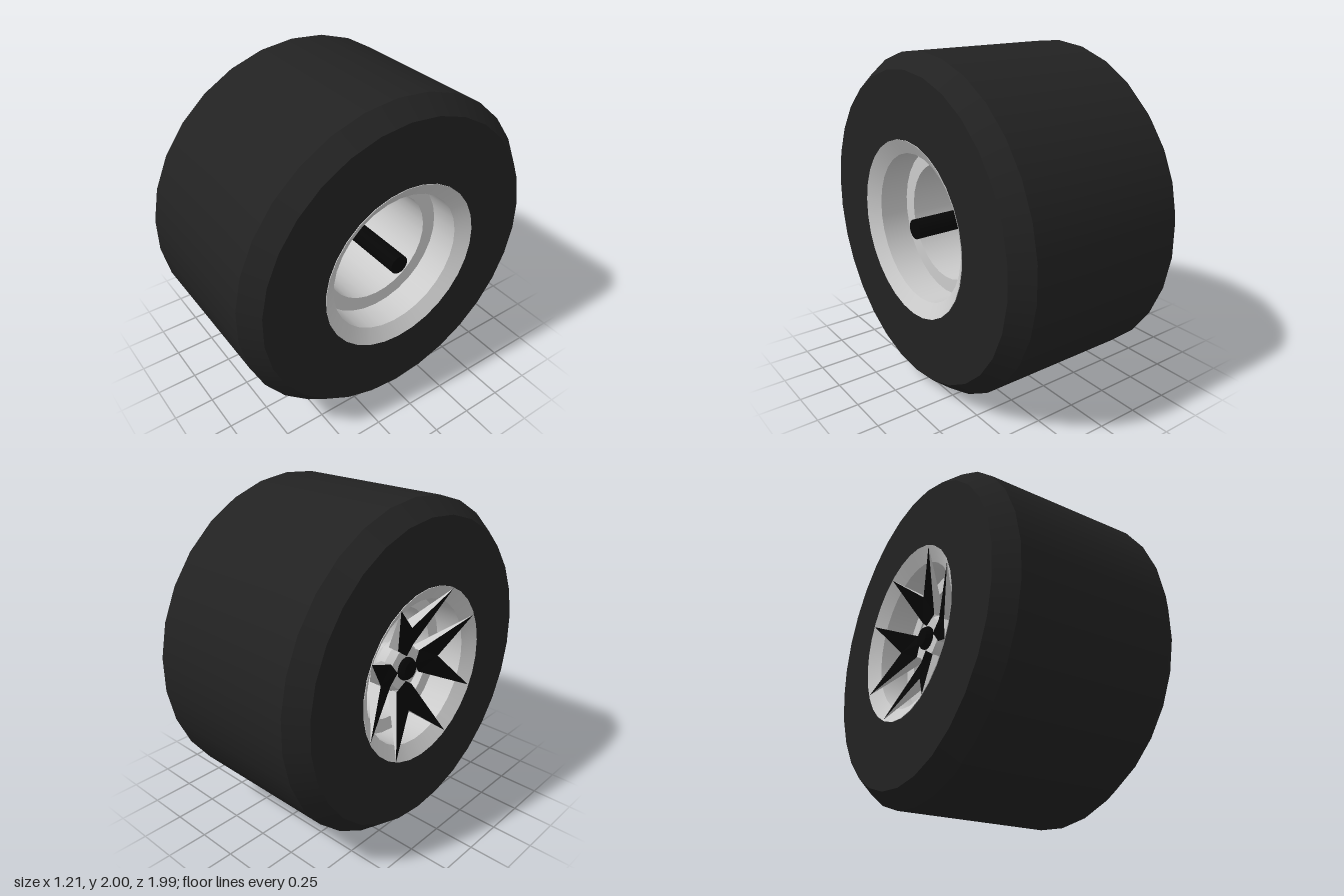
import * as THREE from 'three';
import { mergeGeometries } from 'three/addons/utils/BufferGeometryUtils.js';

const material = (color) => new THREE.MeshStandardMaterial({ color, side: THREE.DoubleSide });

// Turns [radius, x] points around the x axis; each band is separate so its edges stay sharp.
function turned(name, profile, segments, mat) {
  const bands = [];
  for (let i = 0; i < profile.length - 1; i++) {
    const pair = [profile[i], profile[i + 1]].map(([r, x]) => new THREE.Vector2(r, x));
    bands.push(new THREE.LatheGeometry(pair, segments, Math.PI / 2));
  }
  const mesh = new THREE.Mesh(mergeGeometries(bands).rotateZ(-Math.PI / 2), mat);
  mesh.name = name;
  return mesh;
}

// Flat-shaded mesh from triangles, mirrored across the z = 0 plane.
function mirroredFacets(name, triangles, mat) {
  const positions = [];
  for (const side of [1, -1]) {
    for (const [a, b, c] of triangles) {
      const corners = side > 0 ? [a, b, c] : [a, c, b];
      for (const [x, y, z] of corners) positions.push(x, y, z * side);
    }
  }
  const geometry = new THREE.BufferGeometry();
  geometry.setAttribute('position', new THREE.Float32BufferAttribute(positions, 3));
  geometry.computeVertexNormals();
  const mesh = new THREE.Mesh(geometry, mat);
  mesh.name = name;
  return mesh;
}

// Forked spoke: two prongs that taper from the hub to points on the rim lip.
function createSpoke(grey, black) {
  const hubFront = [-0.47, 0.08, 0], hubBack = [-0.35, 0.08, 0];
  const sideFront = [-0.46, 0.13, 0.07], sideBack = [-0.39, 0.13, 0.07];
  const notchFront = [-0.5, 0.265, 0], notchBack = [-0.42, 0.265, 0];
  const tip = [-0.602, 0.464, 0.235];
  const spoke = new THREE.Group();
  spoke.name = 'spoke';
  spoke.add(mirroredFacets('spokeFace', [
    [hubFront, sideFront, notchFront],
    [sideFront, tip, notchFront],
  ], black));
  spoke.add(mirroredFacets('spokeBody', [
    [hubBack, notchBack, sideBack],
    [sideBack, notchBack, tip],
    [sideFront, sideBack, tip],
    [notchFront, tip, notchBack],
  ], grey));
  return spoke;
}

export function createModel() {
  const rubber = material(0x222222);
  const grey = material(0xcccccc);
  const black = material(0x060606);
  const wheel = new THREE.Group();
  wheel.name = 'wheel';
  wheel.position.y = 1;

  // Wide tyre with bevelled shoulders
  wheel.add(turned('tyre', [
    [0.52, -0.6], [0.91, -0.6], [1, -0.49], [1, 0.49], [0.91, 0.6], [0.52, 0.6],
  ], 30, rubber));

  // Rim with flared lips and a narrower stepped bore
  wheel.add(turned('rim', [
    [0.525, 0.595], [0.525, 0.604], [0.44, 0.55], [0.44, 0.37], [0.35, 0.37],
    [0.35, -0.37], [0.44, -0.37], [0.44, -0.55], [0.525, -0.604], [0.525, -0.595],
  ], 30, grey));

  // Hub with a stepped collar on the inner side
  wheel.add(turned('hub', [
    [0, -0.46], [0.13, -0.46], [0.155, -0.42], [0.155, -0.36], [0.115, -0.32], [0, -0.32],
  ], 12, grey));
  wheel.add(turned('hubCollar', [
    [0.115, -0.33], [0.115, -0.3], [0.09, -0.28], [0.09, -0.26], [0.05, -0.26],
  ], 24, grey));

  // Axle and the nut on the outer side
  wheel.add(turned('axle', [[0, -0.4], [0.058, -0.4], [0.058, 0.57], [0, 0.57]], 20, black));
  wheel.add(turned('nut', [
    [0, -0.5], [0.055, -0.5], [0.07, -0.48], [0.07, -0.44],
  ], 12, black));

  // Four forked spokes
  for (let i = 0; i < 4; i++) {
    const spoke = createSpoke(grey, black);
    spoke.rotation.x = i * Math.PI / 2;
    wheel.add(spoke);
  }

  const model = new THREE.Group();
  model.name = 'racingWheel';
  model.add(wheel);
  return model;
}
